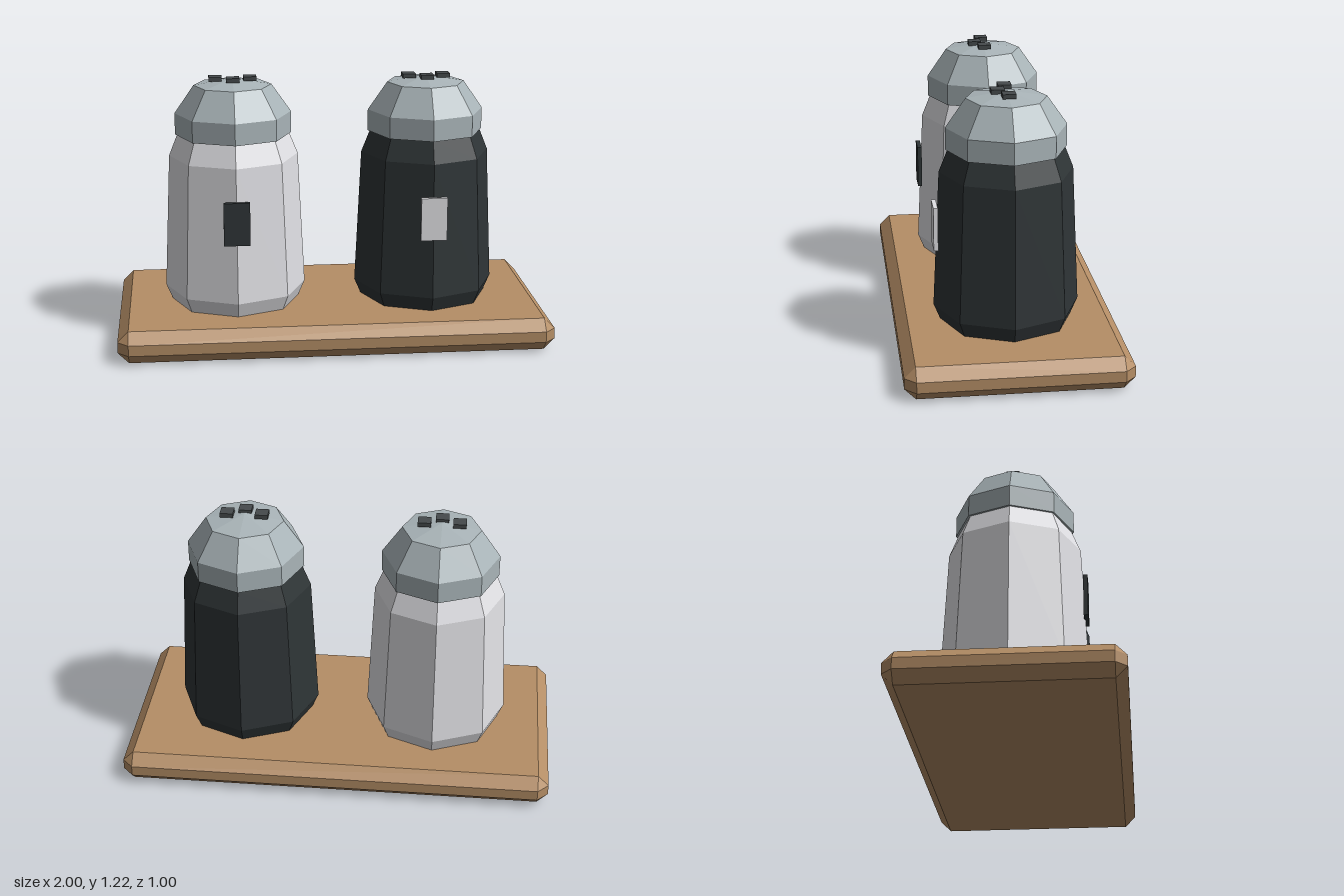
import * as THREE from 'three';
import { ConvexGeometry } from 'three/addons/geometries/ConvexGeometry.js';

const paint = (color) => new THREE.MeshStandardMaterial({ color, flatShading: true });
const wood = paint(0xb58e66);
const white = paint(0xe2e2e6);
const black = paint(0x2f3537);
const metal = paint(0xa9b4b8);
const dark = paint(0x454a4c);

function add(parent, name, geometry, material, x = 0, y = 0, z = 0) {
  const mesh = new THREE.Mesh(geometry, material);
  mesh.name = name;
  mesh.position.set(x, y, z);
  parent.add(mesh);
  return mesh;
}

// Eight-sided turned solid from [radius, height] pairs, bottom to top
function turned(profile) {
  return new THREE.LatheGeometry(profile.map(([r, y]) => new THREE.Vector2(r, y)), 8);
}

// Box with every edge and corner chamfered by c, standing on y = 0
function chamferedBoard(w, h, d, c) {
  const points = [];
  for (const sx of [-1, 1]) for (const sy of [-1, 1]) for (const sz of [-1, 1]) {
    for (const [cx, cy, cz] of [[0, c, c], [c, 0, c], [c, c, 0]]) {
      points.push(new THREE.Vector3(sx * (w / 2 - cx), h / 2 + sy * (h / 2 - cy), sz * (d / 2 - cz)));
    }
  }
  return new ConvexGeometry(points);
}

function shaker(name, x, bodyMaterial, labelMaterial) {
  const group = new THREE.Group();
  group.name = name;
  group.position.x = x;

  // Tapered body and domed cap
  add(group, 'body', turned([[0, 0.15], [0.3, 0.15], [0.33, 0.22], [0.3, 0.85], [0.26, 0.95], [0, 0.95]]), bodyMaterial);
  add(group, 'cap', turned([[0, 0.95], [0.27, 0.95], [0.27, 1.05], [0.18, 1.18], [0, 1.21]]), metal);

  // Plaque on the front edge
  add(group, 'label', new THREE.BoxGeometry(0.12, 0.2, 0.02), labelMaterial, 0, 0.6, 0.32);

  // Pouring holes shown as small raised squares
  for (const [hx, hz] of [[-0.08, 0], [0, 0.04], [0.08, 0]]) {
    add(group, 'pourHole', new THREE.BoxGeometry(0.06, 0.02, 0.06), dark, hx, 1.21, hz);
  }
  return group;
}

export function createModel() {
  const model = new THREE.Group();
  model.name = 'shakerSet';
  add(model, 'board', chamferedBoard(2, 0.15, 1, 0.05), wood);
  model.add(shaker('saltShaker', -0.45, white, black));
  model.add(shaker('pepperShaker', 0.45, black, white));
  return model;
}
